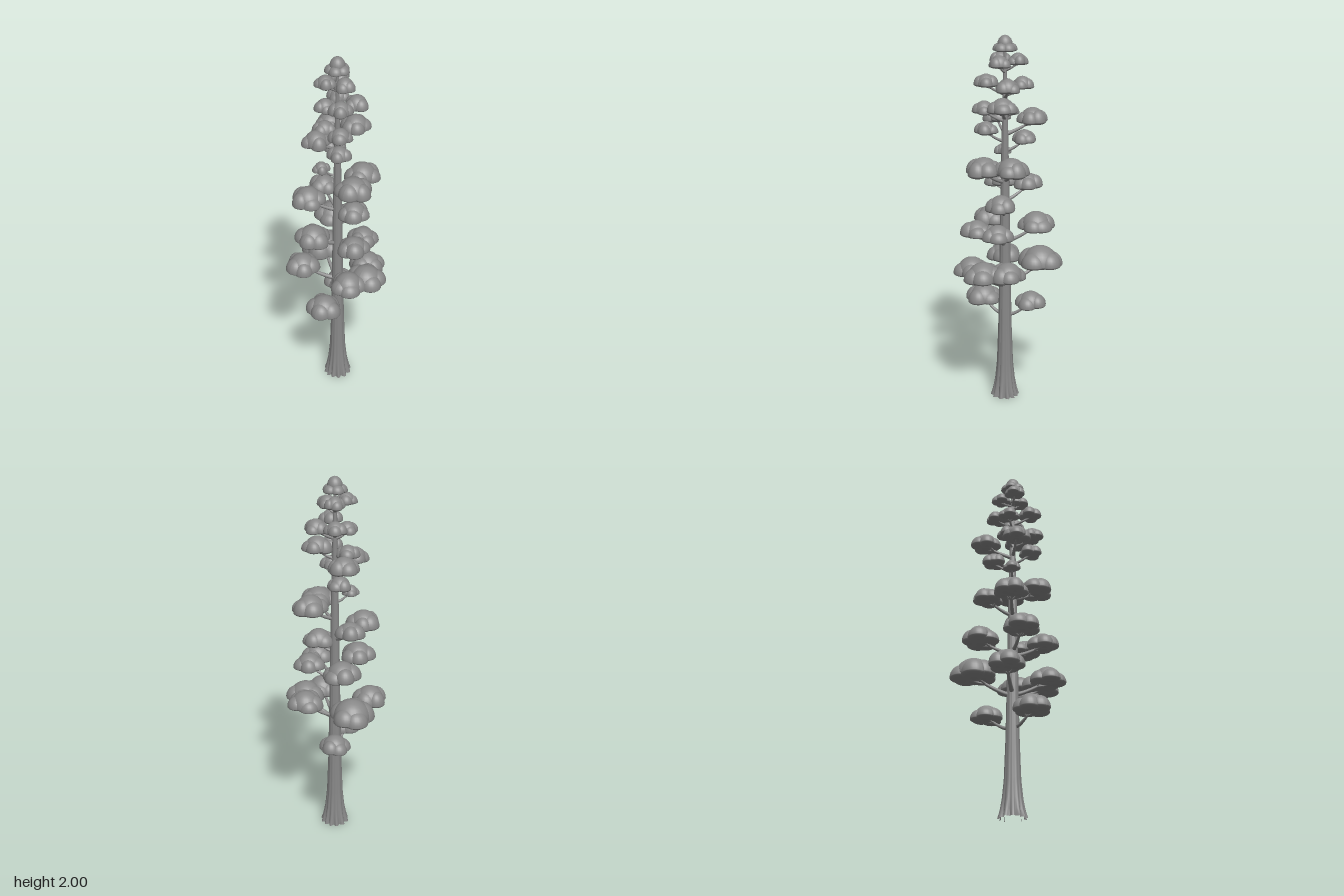
import * as THREE from 'three';

// Foliage pads as [x, z, bottomY, radius]
const PADS = [
  [-0.14, 0.01, 0.52, 0.102], [0.12, -0.075, 0.52, 0.088],
  [-0.11, 0.15, 0.72, 0.1], [0, 0.19, 0.71, 0.11], [0.11, 0.12, 0.72, 0.1],
  [0.11, -0.175, 0.72, 0.127], [-0.12, -0.15, 0.73, 0.098],
  [-0.07, 0.155, 0.94, 0.09], [0.05, 0.13, 0.93, 0.088],
  [-0.14, -0.06, 0.96, 0.1], [0.12, -0.12, 0.95, 0.103],
  [0.035, 0.08, 1.08, 0.087],
  [-0.11, -0.11, 1.17, 0.095], [0.055, -0.13, 1.17, 0.082],
  [-0.04, 0.13, 1.27, 0.102], [0.105, 0.085, 1.28, 0.098],
  [-0.06, -0.06, 1.36, 0.048], [0.07, -0.075, 1.43, 0.068],
  [-0.075, 0.065, 1.48, 0.066],
  [-0.1, -0.06, 1.53, 0.078], [0.095, -0.115, 1.53, 0.085],
  [-0.08, 0.075, 1.59, 0.065], [0.045, 0.08, 1.6, 0.082], [-0.03, -0.06, 1.57, 0.065],
  [-0.07, 0.07, 1.73, 0.065], [0.07, 0.07, 1.71, 0.068],
  [0.075, -0.05, 1.72, 0.062], [-0.03, -0.055, 1.7, 0.06],
  [0, 0.045, 1.83, 0.06], [-0.055, -0.035, 1.845, 0.058], [0.057, -0.035, 1.845, 0.056],
];

let seed = 7;
const rand = () => (seed = (seed * 16807) % 2147483647) / 2147483647;

// Trunk radius by height
const RADII = [[0, 0.07], [0.04, 0.062], [0.1, 0.053], [0.2, 0.044], [0.4, 0.037],
  [0.7, 0.031], [1.1, 0.025], [1.5, 0.017], [1.8, 0.01], [1.95, 0.006]];
function trunkRadius(y) {
  for (let i = 1; i < RADII.length; i++) {
    const [y0, r0] = RADII[i - 1], [y1, r1] = RADII[i];
    if (y <= y1) return r0 + (r1 - r0) * (y - y0) / (y1 - y0);
  }
  return 0.006;
}

// Lathe pushed into buttress ridges near the ground
function trunkGeometry() {
  const pts = RADII.map(([y, r]) => new THREE.Vector2(r, y));
  const geo = new THREE.LatheGeometry(pts, 64);
  const p = geo.attributes.position;
  for (let i = 0; i < p.count; i++) {
    const y = p.getY(i), a = Math.atan2(p.getZ(i), p.getX(i));
    const ridge = Math.abs(Math.sin(a * 6 + 0.5 * Math.sin(a * 2)));
    const k = 1 + (ridge - 0.6) * (0.04 + 0.28 * Math.exp(-y / 0.07));
    p.setX(i, p.getX(i) * k);
    p.setZ(i, p.getZ(i) * k);
  }
  geo.computeVertexNormals();
  return geo;
}

// Dome with a shallow underside, height 1 above its widest ring
function lobeGeometry() {
  const geo = new THREE.SphereGeometry(1, 24, 16);
  const p = geo.attributes.position;
  for (let i = 0; i < p.count; i++) if (p.getY(i) < 0) p.setY(i, p.getY(i) * 0.3);
  geo.computeVertexNormals();
  return geo;
}

// Tapered limb along a curve
function limbGeometry(curve, r0, r1) {
  const steps = 10, sides = 8;
  const geo = new THREE.TubeGeometry(curve, steps, 1, sides, false);
  const p = geo.attributes.position, c = new THREE.Vector3(), v = new THREE.Vector3();
  for (let i = 0; i < p.count; i++) {
    const t = Math.floor(i / (sides + 1)) / steps;
    curve.getPointAt(t, c);
    v.fromBufferAttribute(p, i).sub(c).multiplyScalar(r0 + (r1 - r0) * t).add(c);
    p.setXYZ(i, v.x, v.y, v.z);
  }
  return geo;
}

export function createModel() {
  const root = new THREE.Group();
  root.name = 'conifer';
  const grey = new THREE.MeshStandardMaterial({ color: 0x888888 });
  grey.name = 'matte grey';
  const lobeGeo = lobeGeometry();

  const add = (parent, name, geo) => {
    const m = new THREE.Mesh(geo, grey);
    m.name = name;
    parent.add(m);
    return m;
  };
  const addLobe = (parent, x, y, z, r, h) => {
    const m = add(parent, 'foliageLobe', lobeGeo);
    m.position.set(x, y, z);
    m.scale.set(r, h, r);
  };

  add(root, 'trunk', trunkGeometry());

  PADS.forEach(([x, z, y, w], n) => {
    // Foliage pad: a broad middle dome ringed by lower, overlapping ones
    const pad = new THREE.Group();
    pad.name = 'foliagePad';
    root.add(pad);
    const h = 0.015 + 0.9 * w;
    const count = w > 0.08 ? 5 : 4;
    addLobe(pad, x, y + h * 0.25, z, w * 0.78, h * 0.75);
    const tips = [];
    for (let i = 0; i < count; i++) {
      const a = (i + 0.4 * rand()) / count * Math.PI * 2 + n;
      const s = 0.5 + 0.1 * rand();
      const lx = x + Math.cos(a) * w * (1 - s), lz = z + Math.sin(a) * w * (1 - s);
      const ly = y + h * (0.17 + 0.1 * rand());
      addLobe(pad, lx, ly, lz, w * s, h * (0.5 + 0.15 * rand()));
      tips.push(new THREE.Vector3(lx, ly, lz));
    }

    // Main branch rising from the trunk, with twigs forking under the lobes
    const reach = Math.hypot(x, z), r = trunkRadius(y);
    const size = 0.004 + reach * 0.035;
    const start = new THREE.Vector3(0, y - 0.01 - reach * 0.25, 0);
    const fork = new THREE.Vector3(x * 0.7, y - h * 0.05, z * 0.7);
    const bend = new THREE.Vector3(x / reach * (r + 0.015), start.y + 0.01, z / reach * (r + 0.015));
    const end = new THREE.Vector3(x, y + h * 0.3, z);
    add(root, 'branch', limbGeometry(new THREE.CatmullRomCurve3([start, bend, fork, end]), size * 1.3, size * 0.5));
    tips.filter((_, i) => i % 2 === 0).forEach((tip) => {
      const mid = fork.clone().lerp(tip, 0.5);
      mid.y -= h * 0.04;
      add(root, 'twig', limbGeometry(new THREE.QuadraticBezierCurve3(fork, mid, tip), size * 0.6, size * 0.3));
    });
  });

  // Crown cap
  const crown = new THREE.Group();
  crown.name = 'crown';
  root.add(crown);
  addLobe(crown, 0, 1.95, 0, 0.04, 0.05);
  for (let i = 0; i < 5; i++) {
    const a = i / 5 * Math.PI * 2 + 0.3;
    addLobe(crown, Math.cos(a) * 0.03, 1.925, Math.sin(a) * 0.03, 0.036, 0.035);
  }
  return root;
}
